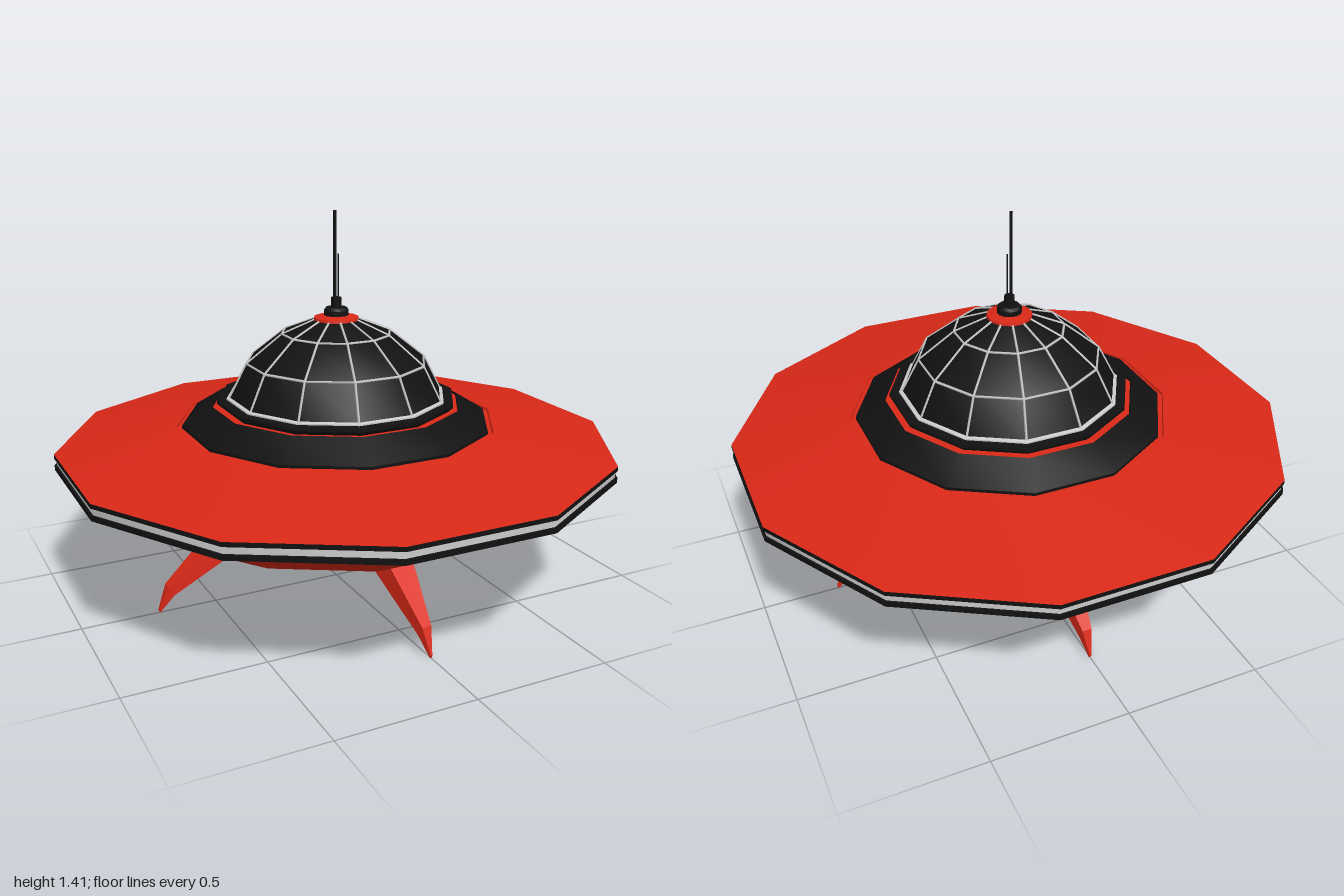
import * as THREE from 'three';
import { toCreasedNormals } from 'three/addons/utils/BufferGeometryUtils.js';

const SIDES = 12, STEP = Math.PI / 6, HALF = STEP / 2;
const K = 1 / Math.cos(HALF); // flat-to-flat radius -> corner radius
const mat = (color, extra = {}) => new THREE.MeshStandardMaterial({ color, ...extra });
const RED = mat(0xd92817), BLACK = mat(0x111111), GREY = mat(0xcccccc);
const BAY = mat(0x111111, { side: THREE.DoubleSide });

function mesh(name, geometry, material, parent) {
  const m = new THREE.Mesh(geometry, material);
  m.name = name;
  parent.add(m);
  return m;
}

// Twelve-sided turned part; radii are measured to the flats
function turned(name, profile, material, parent, start = HALF, segments = SIDES) {
  const pts = profile.map(([r, y]) => new THREE.Vector2(r * K, y));
  const geo = new THREE.LatheGeometry(pts, segments, start, segments * STEP);
  return mesh(name, toCreasedNormals(geo, 0.55), material, parent);
}

// Thin straight bar between two points
function bar(name, a, b, radius, material, parent) {
  const dir = b.clone().sub(a);
  const m = mesh(name, new THREE.CylinderGeometry(radius, radius, dir.length(), 4), material, parent);
  m.position.copy(a).add(b).multiplyScalar(0.5);
  m.quaternion.setFromUnitVectors(new THREE.Vector3(0, 1, 0), dir.normalize());
}

// Skin through four-cornered cross-sections, with both ends closed
function loft(sections) {
  const idx = [], n = sections.length;
  for (let s = 0; s < n - 1; s++) {
    for (let i = 0; i < 4; i++) {
      const a = s * 4 + i, b = s * 4 + (i + 1) % 4;
      idx.push(a, b, b + 4, a, b + 4, a + 4);
    }
  }
  const e = (n - 1) * 4;
  idx.push(0, 2, 1, 0, 3, 2, e, e + 1, e + 2, e, e + 2, e + 3);
  const geo = new THREE.BufferGeometry();
  geo.setAttribute('position', new THREE.Float32BufferAttribute(sections.flat(2), 3));
  geo.setIndex(idx);
  const flat = geo.toNonIndexed();
  flat.computeVertexNormals();
  return flat;
}

// Leg pointing along +z: [outer z, outer y, inner z, inner y, half width]
function legGeometry() {
  const stations = [
    [0.40, 0.325, 0.31, 0.24, 0.085],
    [0.48, 0.28, 0.43, 0.214, 0.064],
    [0.685, 0.10, 0.665, 0.065, 0.022],
    [0.72, 0.01, 0.715, 0, 0.004],
  ];
  return loft(stations.map(([oz, oy, iz, iy, w]) => [
    [-w * 0.8, oy, oz], [-w, iy, iz], [w, iy, iz], [w * 0.8, oy, oz],
  ]));
}

// Recess above one missing hull panel: four walls and a roof
function bayGeometry() {
  const t = Math.tan(HALF), ring = (lift) => [
    [-0.665 * t, 0.33 + lift, 0.665], [0.665 * t, 0.33 + lift, 0.665],
    [0.33 * t, 0.24 + lift, 0.33], [-0.33 * t, 0.24 + lift, 0.33],
  ];
  const geo = loft([ring(0), ring(0.1)]);
  // drop the cap over the opening (the first six corners after the walls)
  const p = Array.from(geo.attributes.position.array);
  p.splice(24 * 3, 6 * 3);
  const open = new THREE.BufferGeometry();
  open.setAttribute('position', new THREE.Float32BufferAttribute(p, 3));
  open.computeVertexNormals();
  return open;
}

export function createModel() {
  const model = new THREE.Group();
  model.name = 'flyingSaucer';

  // Hull
  turned('upperHull', [[1, 0.567], [0.575, 0.645], [0.572, 0.637], [0.55, 0.637]], RED, model);
  turned('lowerHull', [[0.665, 0.33], [0.985, 0.51]], RED, model);
  turned('bellyRing', [[0.19, 0.265], [0.265, 0.24], [0.33, 0.24]], RED, model);

  // Rim: two black bands around a pale strip
  turned('rimLower', [[0.97, 0.508], [1, 0.508], [1, 0.526], [0.985, 0.526]], BLACK, model);
  turned('rimStrip', [[0.992, 0.52], [0.992, 0.555]], GREY, model);
  turned('rimUpper', [[0.985, 0.551], [1, 0.551], [1, 0.567], [0.97, 0.572]], BLACK, model);

  // Collar under the dome
  turned('collar', [[0.555, 0.63], [0.555, 0.648], [0.45, 0.716], [0.447, 0.708]], BLACK, model);
  turned('collarGroove', [[0.45, 0.708], [0.41, 0.708]], RED, model);
  turned('domeBrim', [[0.41, 0.705], [0.43, 0.724], [0.43, 0.735], [0.37, 0.737]], BLACK, model);

  // Dome with its frame
  const dome = new THREE.Group();
  dome.name = 'dome';
  model.add(dome);
  const domeProfile = [[0.387, 0.737], [0.322, 0.868], [0.195, 0.973], [0.065, 1.027]];
  turned('domeGlass', domeProfile, BLACK, dome);
  turned('domeBaseTrim', [[0.396, 0.735], [0.396, 0.741], [0.382, 0.745]], GREY, dome);
  const corner = ([r, y], a) => new THREE.Vector3(r * K * Math.sin(a), y, r * K * Math.cos(a));
  for (let i = 0; i < SIDES; i++) {
    const a = HALF + i * STEP;
    domeProfile.forEach((p, j) => {
      if (j === 3) return;
      bar('domeRib', corner(p, a), corner(domeProfile[j + 1], a), 0.005, GREY, dome);
      if (j > 0) bar('domeHoop', corner(p, a), corner(p, a + STEP), 0.005, GREY, dome);
    });
  }

  // Cap and antennas
  turned('domeCap', [[0.082, 1.018], [0.08, 1.03], [0.04, 1.038]], RED, model);
  turned('antennaBase', [[0.036, 1.03], [0.044, 1.037], [0.044, 1.056], [0.036, 1.066],
    [0.018, 1.066], [0.018, 1.102], [0, 1.102]], BLACK, model);
  for (const [name, x, r, top] of [['tallAntenna', -0.006, 0.006, 1.415], ['shortAntenna', 0.008, 0.003, 1.26]]) {
    const m = mesh(name, new THREE.CylinderGeometry(r, r, top - 1.09, 6), BLACK, model);
    m.position.set(x, (top + 1.09) / 2, 0);
  }

  // Engine nozzle
  turned('nozzle', [[0.083, 0.165], [0.083, 0.138], [0.135, 0.138], [0.138, 0.15], [0.138, 0.165],
    [0.122, 0.17], [0.122, 0.187], [0.135, 0.19], [0.135, 0.208], [0.17, 0.238], [0.2, 0.268]], BLACK, model);
  turned('nozzleLens', [[0, 0.15], [0.05, 0.154], [0.085, 0.165]], GREY, model);

  // Four legs in their bays, with the hull panels between them
  const legGeo = legGeometry(), bayGeo = bayGeometry();
  for (let i = 0; i < 4; i++) {
    const quarter = new THREE.Group();
    quarter.name = 'legAssembly';
    quarter.rotation.y = i * Math.PI / 2;
    turned('bellyPanels', [[0.33, 0.24], [0.665, 0.33]], RED, quarter, HALF, 2);
    mesh('legBay', bayGeo, BAY, quarter);
    mesh('leg', legGeo, RED, quarter);
    model.add(quarter);
  }
  return model;
}
